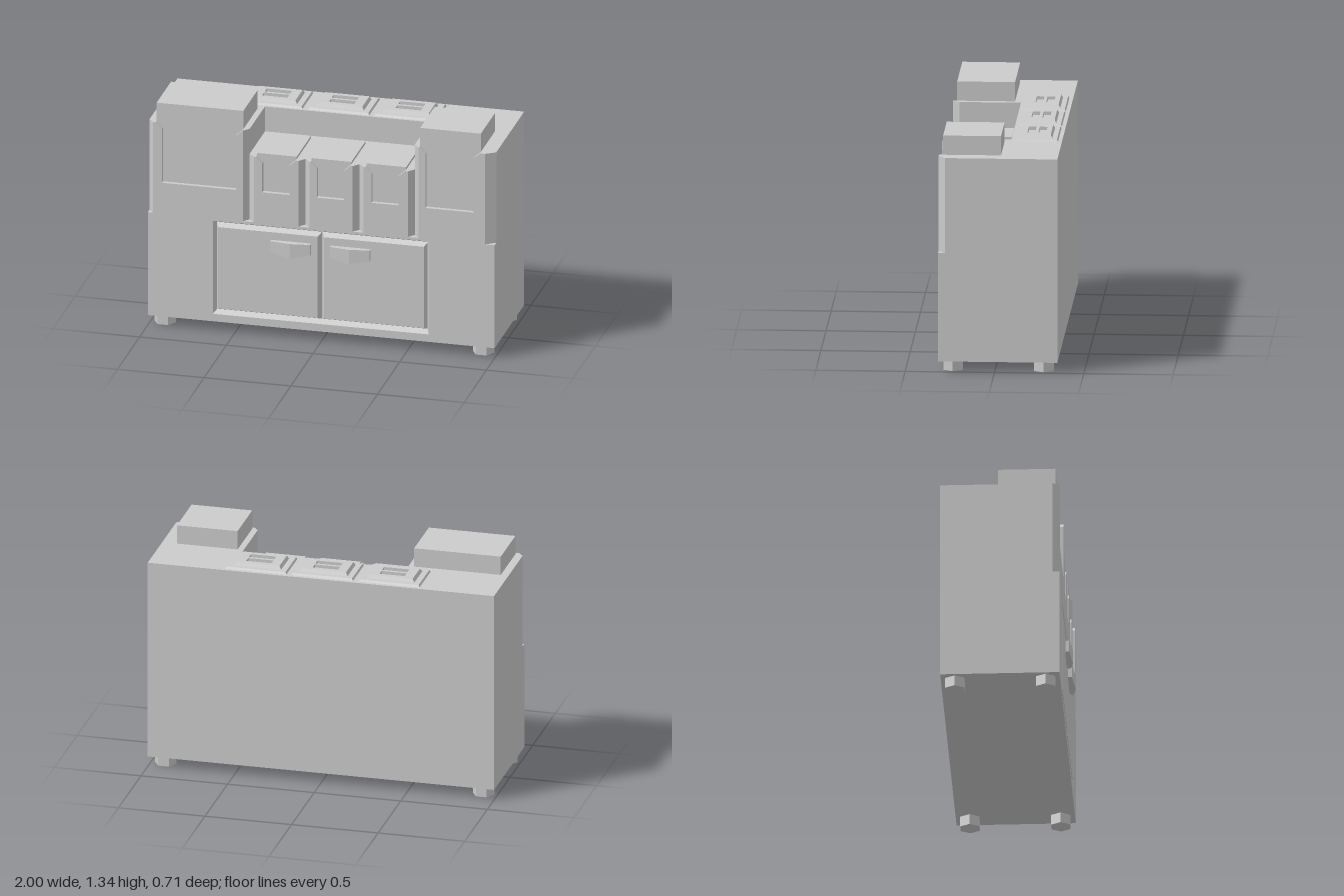
import * as THREE from 'three';

const mat = new THREE.MeshStandardMaterial({ color: 0xcccccc, flatShading: true });
const BACK = -0.352, INNER = 0.277, FRONT = 0.315; // depth planes of the cabinet
const BASE = 0.06, TRAY = 1.075, TOP = 1.225;

function add(parent, name, geometry) {
  const mesh = new THREE.Mesh(geometry, mat);
  mesh.name = name;
  parent.add(mesh);
  return mesh;
}

// Box given by its limits
function block(x0, x1, y0, y1, z0, z1) {
  return new THREE.BoxGeometry(x1 - x0, y1 - y0, z1 - z0)
    .translate((x0 + x1) / 2, (y0 + y1) / 2, (z0 + z1) / 2);
}

const outline = (pts) => pts.map(([x, y]) => new THREE.Vector2(x, y));
const rect = (x0, x1, y0, y1) => outline([[x0, y0], [x1, y0], [x1, y1], [x0, y1]]);

function extrude(pts, depth, holes = []) {
  const shape = new THREE.Shape(pts);
  holes.forEach((h) => shape.holes.push(new THREE.Path(h)));
  return new THREE.ExtrudeGeometry(shape, { depth, bevelEnabled: false });
}

// Move every vertex by a rule working on a Vector3
function reshape(geometry, rule) {
  const p = geometry.attributes.position, v = new THREE.Vector3();
  for (let i = 0; i < p.count; i++) {
    v.fromBufferAttribute(p, i);
    rule(v);
    p.setXYZ(i, v.x, v.y, v.z);
  }
  geometry.computeVertexNormals();
  return geometry;
}

const near = (a, b) => Math.abs(a - b) < 1e-4;

export function createModel() {
  const model = new THREE.Group();
  model.name = 'sideboard';

  // Cabinet core and the U-shaped upper part around the tray
  add(model, 'cabinetCore', block(-1, 1, BASE, TRAY, BACK, INNER));
  const upper = extrude(outline([
    [-1, -INNER], [-0.422, -INNER], [-0.422, 0.067], [0.53, 0.067],
    [0.53, -INNER], [1, -INNER], [1, -BACK], [-1, -BACK],
  ]), TOP - TRAY);
  upper.rotateX(-Math.PI / 2).translate(0, TRAY, 0);
  add(model, 'cabinetUpper', upper);

  // Lower front with a bevelled opening for the doors
  const [hx0, hx1, hy0, hy1] = [-0.625, 0.62, 0.105, 0.665];
  const lower = extrude(rect(-1, 1, BASE, 0.68), FRONT - INNER, [rect(hx0, hx1, hy0, hy1)]);
  reshape(lower, (v) => {
    if (near(v.z, 0) && Math.abs(v.x) < 0.9) {
      v.x -= Math.sign(v.x) * 0.016;
      v.y += v.y < 0.3 ? 0.018 : -0.018;
    }
  });
  add(model, 'lowerFront', lower.translate(0, 0, INNER));

  // Doors with sloping edges, each with a pointed pull
  for (const [x0, x1, pullX] of [[-0.595, -0.02, -0.173], [0.015, 0.592, 0.17]]) {
    const cx = (x0 + x1) / 2;
    const door = reshape(block(x0, x1, 0.14, 0.63, INNER, FRONT), (v) => {
      if (near(v.z, INNER)) {
        v.x += Math.sign(v.x - cx) * 0.016;
        v.y += Math.sign(v.y - 0.385) * 0.017;
      }
    });
    add(model, 'door', door);

    const pull = reshape(new THREE.BoxGeometry(0.23, 0.065, 0.022, 2, 1, 1), (v) => {
      if (near(v.x, 0)) {
        if (v.z > 0) v.z += 0.016;
        if (v.y < 0) v.y -= 0.022;
      }
    });
    add(model, 'doorPull', pull).position.set(pullX, 0.552, FRONT + 0.011);
  }

  // Notched upper panels separated by V-grooves, each holding a raised box:
  // front edges a, b; groove bottoms ga, gb; box limits x0, x1; panel and box tops
  const bays = [
    { a: -0.97, b: -0.452, ga: -1, gb: -0.422, x0: -0.955, x1: -0.455, top: TOP, boxTop: 1.335 },
    { a: -0.388, b: -0.132, ga: -0.422, gb: -0.1, x0: -0.377, x1: -0.147, top: TRAY, boxTop: 1.09 },
    { a: -0.068, b: 0.18, ga: -0.1, gb: 0.212, x0: -0.062, x1: 0.168, top: TRAY, boxTop: 1.09 },
    { a: 0.245, b: 0.5, ga: 0.212, gb: 0.53, x0: 0.254, x1: 0.484, top: TRAY, boxTop: 1.09 },
    { a: 0.56, b: 0.945, ga: 0.53, gb: 1, x0: 0.565, x1: 0.915, top: TOP, boxTop: 1.335 },
  ];
  for (const { a, b, ga, gb, x0, x1, top, boxTop } of bays) {
    const n0 = x0 + 0.037, n1 = x1 - 0.037, s = top - 0.035;
    const panel = extrude(outline([
      [a, 0.68], [b, 0.68], [b, top], [x1, top], [n1, s], [n1, 0.865],
      [n0, 0.865], [n0, s], [x0, top], [a, top],
    ]), FRONT - INNER);
    reshape(panel, (v) => {
      if (!near(v.z, 0)) return;
      if (near(v.x, a)) v.x = ga;
      else if (near(v.x, b)) v.x = gb;
    });
    add(model, 'notchedPanel', panel.translate(0, 0, INNER));
    add(model, 'raisedBox', block(x0, x1, 0.865, boxTop, -0.032, 0.292));
  }

  // Three stepped lids on the top, with a grip bar between two slots
  for (const x of [-0.387, -0.002, 0.382]) {
    const lid = new THREE.Group();
    lid.name = 'lid';
    lid.position.set(x, TOP, -0.206);
    model.add(lid);
    const plate = reshape(block(-0.177, 0.177, 0, 0.011, -0.124, 0.124), (v) => {
      if (v.y > 0.005) { v.x *= 0.96; v.z *= 0.95; }
    });
    add(lid, 'lidPlate', plate);
    const step = extrude(rect(-0.137, 0.137, -0.09, 0.09), 0.019, [
      rect(-0.073, 0.073, 0.009, 0.052), rect(-0.073, 0.073, -0.052, -0.009),
    ]);
    reshape(step, (v) => {
      if (v.z > 0.01 && Math.abs(v.x) > 0.1) { v.x *= 0.92; v.y *= 0.9; }
    });
    add(lid, 'lidStep', step.rotateX(-Math.PI / 2).translate(0, 0.011, 0));
  }

  // Six-sided feet
  for (const x of [-0.92, 0.916]) {
    for (const z of [0.235, -0.273]) {
      const foot = new THREE.CylinderGeometry(0.062, 0.062, BASE, 6).rotateY(Math.PI / 6);
      add(model, 'foot', foot).position.set(x, BASE / 2, z);
    }
  }
  return model;
}
